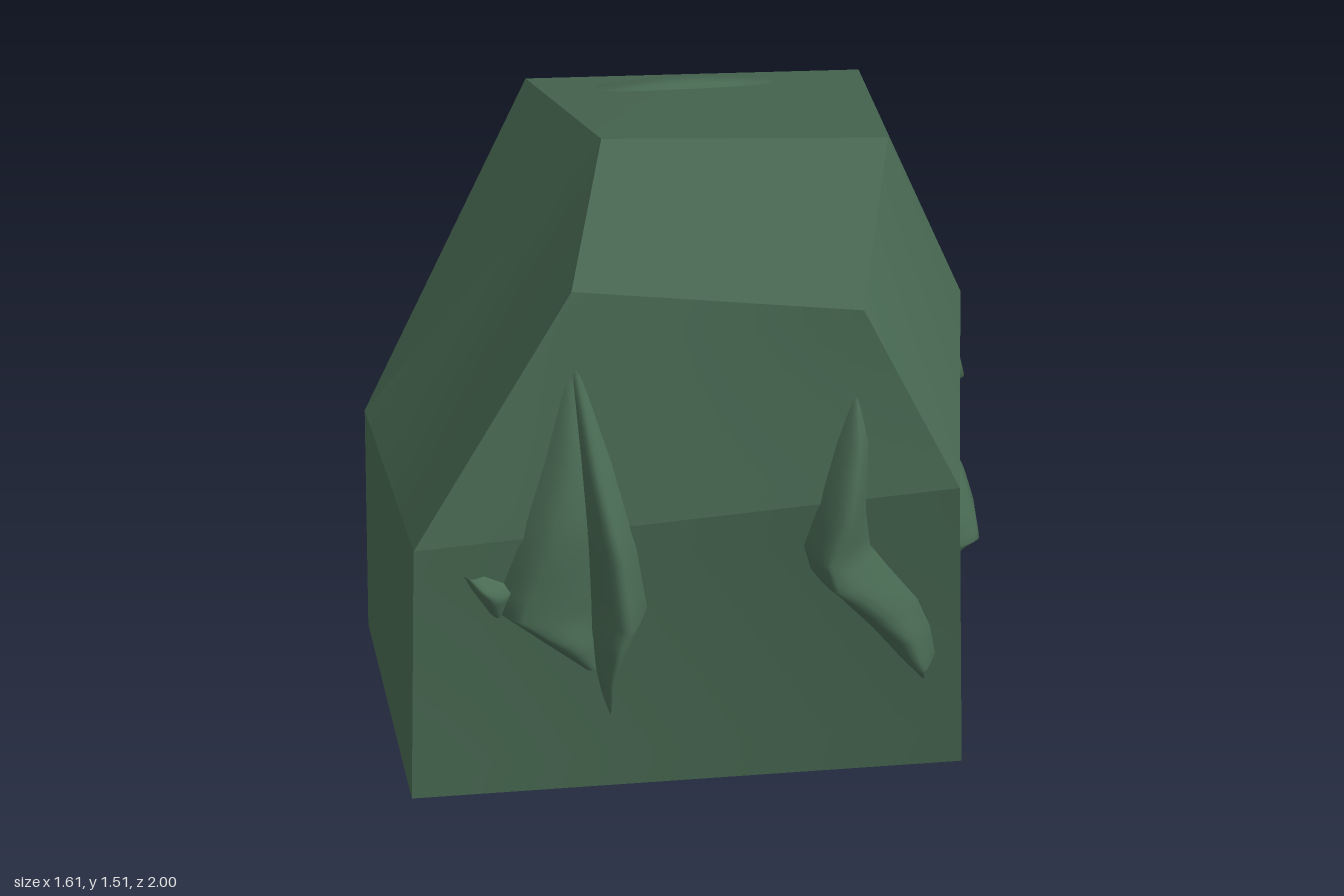
import * as THREE from 'three';
import { mergeGeometries } from 'three/addons/utils/BufferGeometryUtils.js';

export function createModel() {
  const model = new THREE.Group();
  const clothMat = new THREE.MeshStandardMaterial({ name: 'greenCloth', color: 0x496a53, side: THREE.DoubleSide });
  const woodMat = new THREE.MeshStandardMaterial({ name: 'brownWood', color: 0x765a3e, side: THREE.DoubleSide });

  const add = (name, geometry, material, parent = model) => {
    const mesh = new THREE.Mesh(geometry, material);
    mesh.name = name;
    parent.add(mesh);
    return mesh;
  };

  const buildGeometry = (position, index) => {
    const geometry = new THREE.BufferGeometry();
    geometry.setAttribute('position', new THREE.Float32BufferAttribute(position, 3));
    geometry.setIndex(index);
    geometry.computeVertexNormals();
    return geometry;
  };

  // Draped cloth: a bottom ring, a shoulder ring and a flat roof, open below
  const points = [
    [-0.805, 0, 0.755], [0.67, 0, 0.78], [0.67, 0, -0.6], [0.6, 0, -0.82], [-0.23, 0, -0.97], [-0.805, 0, -0.08],
    [-0.8, 0.79, 0.75], [0.64, 1, 0.96], [0.79, 0.91, -0.1], [0.61, 1.19, -0.77], [-0.27, 1.17, -0.88], [-0.815, 0.69, -0.08],
    [-0.36, 1.51, 0.64], [0.4, 1.51, 0.835], [0.577, 1.51, 0.03], [-0.18, 1.51, -0.07],
  ].map((p) => new THREE.Vector3(...p));
  const panels = [
    [6, 7, 13, 12], [7, 8, 14, 13], [8, 9, 14, 14], [9, 10, 15, 14], [10, 11, 15, 15], [11, 6, 12, 15], [12, 13, 14, 15],
  ];
  for (let i = 0; i < 6; i++) {
    const j = (i + 1) % 6;
    panels.push([i, j, j + 6, i + 6]);
  }

  // Each panel is a gently twisted sheet stretched between its corners
  const sheet = (panel) => {
    const [a, b, c, d] = panel.map((i) => points[i]);
    const n = 8;
    const position = [];
    const index = [];
    for (let r = 0; r <= n; r++) {
      for (let s = 0; s <= n; s++) {
        const low = a.clone().lerp(b, s / n);
        const high = d.clone().lerp(c, s / n);
        position.push(...low.lerp(high, r / n).toArray());
        if (r < n && s < n) {
          const p = r * (n + 1) + s;
          const q = p + n + 1;
          index.push(p, p + 1, q + 1, p, q + 1, q);
        }
      }
    }
    return buildGeometry(position, index);
  };
  const cloth = add('clothCover', mergeGeometries(panels.map(sheet)), clothMat);

  // Finds a point on the cloth, lifted off it by `out`
  const sides = {
    front: { from: (u, v) => [u, v, 3], normal: [0, 0, 1] },
    back: { from: (u, v) => [u, v, -3], normal: [0, 0, -1] },
    right: { from: (u, v) => [3, v, u], normal: [1, 0, 0] },
    top: { from: (u, v) => [u, 3, v], normal: [0, 1, 0] },
  };
  const ray = new THREE.Raycaster();
  const onCloth = (side, u, v, out) => {
    const normal = new THREE.Vector3(...sides[side].normal);
    ray.set(new THREE.Vector3(...sides[side].from(u, v)), normal.clone().negate());
    const hit = ray.intersectObject(cloth)[0];
    return hit.point.addScaledVector(normal, out);
  };

  // Surface lofted over the cloth; rows are [v, start, ridge, end, ridgeHeight]
  const loft = (name, side, rows, material = clothMat, base = -0.004) => {
    const curves = [0, 1, 2, 3, 4].map((i) => rows.map((r) => r[i]));
    const columns = 10;
    const steps = (rows.length - 1) * 3;
    const position = [];
    const index = [];
    for (let s = 0; s <= steps; s++) {
      const k = Math.min(Math.floor(s / 3), rows.length - 2);
      const [v, a, ridge, b, out] = curves.map((c) => THREE.MathUtils.lerp(c[k], c[k + 1], s / 3 - k));
      for (let c = 0; c <= columns; c++) {
        const t = c / columns;
        const u = t < 0.5 ? a + (ridge - a) * t * 2 : ridge + (b - ridge) * (t * 2 - 1);
        const lift = base + out * Math.sin(Math.PI * t);
        position.push(...onCloth(side, u, v, lift).toArray());
        if (s < steps && c < columns) {
          const p = s * (columns + 1) + c;
          const q = p + columns + 1;
          index.push(p, q, q + 1, p, q + 1, p + 1);
        }
      }
    }
    add(name, buildGeometry(position, index), material);
  };

  // Front folds
  loft('frontFoldOuter', 'front', [
    [1.31, -0.38, -0.37, -0.36, 0], [1.05, -0.45, -0.39, -0.33, 0.03], [0.8, -0.53, -0.45, -0.33, 0.05],
    [0.6, -0.59, -0.52, -0.32, 0.07], [0.5, -0.47, -0.4, -0.31, 0.06], [0.4, -0.35, -0.33, -0.3, 0.02],
  ]);
  loft('frontFoldInner', 'front', [
    [1.32, -0.37, -0.36, -0.35, 0], [1.05, -0.36, -0.32, -0.27, 0.05], [0.8, -0.34, -0.27, -0.21, 0.09],
    [0.6, -0.33, -0.25, -0.18, 0.13], [0.53, -0.33, -0.27, -0.2, 0.14], [0.42, -0.32, -0.29, -0.26, 0.14],
    [0.32, -0.3, -0.29, -0.285, 0.12],
  ]);
  loft('frontFoldFlap', 'front', [
    [0.71, -0.67, -0.65, -0.61, 0.02], [0.67, -0.65, -0.6, -0.52, 0.06], [0.59, -0.6, -0.58, -0.55, 0.03],
  ]);
  loft('frontFoldLeft', 'front', [
    [1.27, 0.37, 0.375, 0.38, 0], [1.13, 0.32, 0.37, 0.405, 0.04], [0.92, 0.26, 0.33, 0.395, 0.08],
    [0.8, 0.23, 0.29, 0.41, 0.11], [0.72, 0.25, 0.31, 0.46, 0.13], [0.6, 0.34, 0.42, 0.54, 0.1],
    [0.5, 0.42, 0.5, 0.575, 0.09], [0.4, 0.49, 0.54, 0.59, 0.09], [0.36, 0.53, 0.55, 0.57, 0.07],
  ]);

  // Side folds
  loft('sideFoldFront', 'right', [
    [0.86, 0.63, 0.61, 0.57, 0], [0.8, 0.69, 0.64, 0.48, 0.03], [0.72, 0.73, 0.67, 0.35, 0.055],
    [0.66, 0.745, 0.7, 0.23, 0.065], [0.64, 0.74, 0.7, 0.35, 0.03],
  ]);
  loft('sideFoldBack', 'right', [
    [0.82, -0.04, -0.06, -0.08, 0], [0.75, -0.025, -0.06, -0.1, 0.03], [0.66, -0.03, -0.07, -0.11, 0.06],
    [0.57, -0.11, -0.12, -0.125, 0],
  ]);

  // Back folds and the shallow ripple on the rear slope
  loft('backFoldCorner', 'back', [
    [1.14, 0, -0.03, -0.07, 0.01], [0.97, 0.04, -0.02, -0.13, 0.14], [0.82, 0, -0.08, -0.17, 0.07],
    [0.64, -0.12, -0.15, -0.18, 0.03],
  ]);
  loft('backFoldSide', 'back', [
    [1.0, 0.55, 0.54, 0.53, 0], [0.85, 0.57, 0.545, 0.51, 0.04], [0.72, 0.575, 0.55, 0.49, 0.09],
    [0.6, 0.56, 0.54, 0.51, 0.04], [0.48, 0.55, 0.54, 0.53, 0],
  ]);
  loft('rearSlopeRipple', 'top', [
    [-0.79, -0.1, 0.12, 0.3, 0], [-0.74, -0.13, 0.14, 0.4, 0.025], [-0.68, -0.12, 0.14, 0.4, 0.025],
    [-0.64, -0.08, 0.14, 0.37, 0],
  ]);

  // Crate edges showing through the side and back
  loft('exposedCratePost', 'right', [[0.645, 0.72, 0.67, 0.62, 0], [0.49, 0.72, 0.67, 0.62, 0]], woodMat, 0.004);
  loft('exposedCrateRail', 'right', [[0.645, 0.62, 0.5, 0.38, 0], [0.62, 0.62, 0.5, 0.38, 0]], woodMat, 0.004);
  loft('exposedCrateCorner', 'back', [
    [0.77, -0.16, -0.17, -0.18, 0], [0.755, 0.165, 0, -0.18, 0], [0.6, -0.17, -0.175, -0.18, 0],
  ], woodMat, 0.009);

  // Wooden crates: a core with twelve edge beams and a raised panel on each face
  const crate = (name, size, height, x, y, z, turn) => {
    const group = new THREE.Group();
    group.name = name;
    group.position.set(x, y + height / 2, z);
    group.rotation.y = turn;
    model.add(group);
    const beam = 0.09;
    const dims = [size, height, size];
    const inner = dims.map((d) => d - 0.04);
    add('crateCore', new THREE.BoxGeometry(...inner), woodMat, group);
    for (let axis = 0; axis < 3; axis++) {
      const [p, q] = [(axis + 1) % 3, (axis + 2) % 3];
      for (const sp of [-1, 1]) {
        for (const sq of [-1, 1]) {
          const box = [beam, beam, beam];
          box[axis] = dims[axis];
          const at = [0, 0, 0];
          at[p] = sp * (dims[p] - beam) / 2;
          at[q] = sq * (dims[q] - beam) / 2;
          add('crateBeam', new THREE.BoxGeometry(...box), woodMat, group).position.set(...at);
        }
      }
      const panel = dims.map((d) => d - 2 * beam - 0.03);
      panel[axis] = dims[axis] - 0.012;
      add('cratePanel', new THREE.BoxGeometry(...panel), woodMat, group);
    }
  };
  crate('crateFrontLeft', 0.69, 0.64, 0.295, 0, 0.36, -0.05);
  crate('crateFrontRight', 0.69, 0.64, -0.4, 0, 0.195, -0.06);
  crate('crateBack', 0.7, 0.72, 0.125, 0, -0.475, -0.19);
  crate('crateUpper', 0.6, 0.6, 0.1, 0.75, 0.35, -0.15);

  return model;
}
